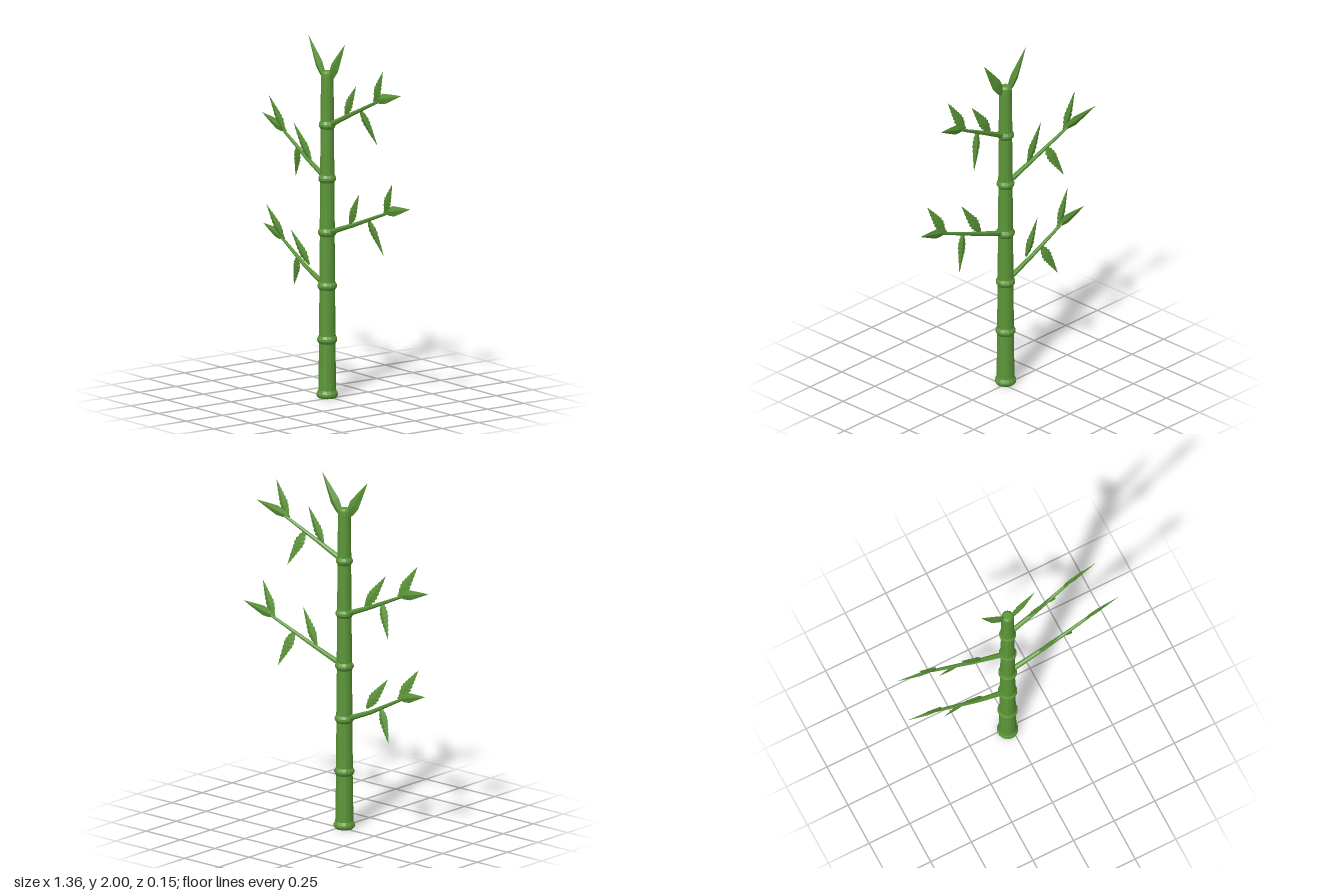
import * as THREE from 'three';

const green = new THREE.MeshStandardMaterial({ color: 0x5c9638, flatShading: true });
const V = (a) => new THREE.Vector3(...a);
const CX = -0.024, CZ = 0.012; // stalk axis

function addMesh(parent, geometry, name) {
  const mesh = new THREE.Mesh(geometry, green);
  mesh.name = name;
  parent.add(mesh);
  return mesh;
}

// Tapered stalk with a bevelled ring at every node
function stalkGeometry() {
  const pts = [[0, 0], [0.05, 0], [0.059, 0.012], [0.059, 0.024], [0.05, 0.042]];
  for (let i = 1; i <= 5; i++) {
    const y = 0.025 + i * 0.3, r = 0.05 - i * 0.0022;
    pts.push([r - 0.002, y - 0.022], [r + 0.008, y - 0.006], [r + 0.008, y + 0.006], [r - 0.001, y + 0.022]);
  }
  pts.push([0.035, 1.79], [0.033, 1.815], [0.022, 1.826], [0, 1.826]);
  return new THREE.LatheGeometry(pts.map(([r, y]) => new THREE.Vector2(r, y)), 14);
}

// Tapered twig between two points
function twig(parent, from, to, r0, r1, name) {
  const dir = to.clone().sub(from);
  const mesh = addMesh(parent, new THREE.CylinderGeometry(r1, r0, dir.length(), 7), name);
  mesh.position.copy(from).addScaledVector(dir, 0.5);
  mesh.quaternion.setFromUnitVectors(new THREE.Vector3(0, 1, 0), dir.normalize());
}

// Spindle leaf with diamond cross-sections; toothed leaves get a saw-tooth edge
function leafGeometry(base, tip, halfWidth, thickness, toothed) {
  const dir = tip.clone().sub(base), unit = dir.clone().normalize();
  const side = new THREE.Vector3().crossVectors(unit, new THREE.Vector3(0, 0, 1)).normalize();
  const normal = new THREE.Vector3().crossVectors(unit, side);
  const width = (t) => (t < 0.38 ? 0.2 + 0.8 * Math.sin((t / 0.38) * Math.PI / 2) : Math.pow((1 - t) / 0.62, 0.9));
  const rings = [];
  if (toothed) {
    const teeth = 9;
    for (let i = 0; i < teeth; i++) {
      rings.push([i / teeth, width(i / teeth) * 0.86]);
      rings.push([(i + 0.75) / teeth, width((i + 0.75) / teeth) * 1.08]);
    }
  } else {
    for (const t of [0, 0.2, 0.38, 0.7]) rings.push([t, width(t)]);
  }
  rings.push([1, 0.01]);
  const pos = [], index = [];
  rings.forEach(([t, w], i) => {
    for (let j = 0; j < 4; j++) {
      const a = (j * Math.PI) / 2;
      const p = base.clone().addScaledVector(dir, t)
        .addScaledVector(side, Math.cos(a) * w * halfWidth)
        .addScaledVector(normal, Math.sin(a) * width(t) * thickness);
      pos.push(p.x, p.y, p.z);
      if (i === 0) continue;
      const k = (j + 1) % 4, lo = (i - 1) * 4, hi = i * 4;
      index.push(lo + j, lo + k, hi + k, lo + j, hi + k, hi + j);
    }
  });
  index.push(0, 2, 1, 0, 3, 2);
  const geo = new THREE.BufferGeometry();
  geo.setAttribute('position', new THREE.Float32BufferAttribute(pos, 3));
  geo.setIndex(index);
  const flat = geo.toNonIndexed();
  flat.computeVertexNormals();
  return flat;
}

// Each branch: root, bend, end, then leaves as [base, tip]
const branches = [
  {
    path: [[-0.04, 0.625, 0.012], [-0.22, 0.7, 0.01], [-0.46, 0.825, 0.0]],
    leaves: {
      endLeaf: [[-0.42, 0.82, 0.003], [-0.627, 0.87, -0.007]], upperLeaf: [[-0.43, 0.82, 0.003], [-0.54, 0.995, 0.037]],
      innerLeaf: [[-0.185, 0.715, 0.012], [-0.31, 0.895, 0.045]], lowerLeaf: [[-0.295, 0.745, 0.005], [-0.387, 0.56, -0.035]],
    },
  },
  {
    path: [[-0.01, 0.925, 0.012], [0.2, 1.0, 0.007], [0.49, 1.115, -0.008]],
    leaves: {
      endLeaf: [[0.46, 1.115, -0.008], [0.68, 1.167, -0.02]], upperLeaf: [[0.472, 1.115, -0.005], [0.58, 1.295, 0.025]],
      innerLeaf: [[0.175, 1.0, 0.01], [0.297, 1.193, 0.037]], lowerLeaf: [[0.325, 1.06, 0], [0.405, 0.857, -0.05]],
    },
  },
  {
    path: [[-0.04, 1.225, 0.01], [-0.22, 1.3, -0.002], [-0.47, 1.415, -0.025]],
    leaves: {
      endLeaf: [[-0.44, 1.415, -0.022], [-0.68, 1.475, -0.04]], upperLeaf: [[-0.45, 1.41, -0.022], [-0.562, 1.597, 0.003]],
      innerLeaf: [[-0.185, 1.295, 0], [-0.315, 1.49, 0.022]], lowerLeaf: [[-0.315, 1.355, -0.01], [-0.407, 1.164, -0.062]],
    },
  },
  {
    path: [[-0.01, 1.525, 0.01], [0.16, 1.61, -0.008], [0.37, 1.715, -0.035]],
    leaves: {
      endLeaf: [[0.335, 1.715, -0.032], [0.555, 1.775, -0.055]], upperLeaf: [[0.345, 1.71, -0.032], [0.452, 1.9, -0.008]],
      innerLeaf: [[0.115, 1.6, -0.004], [0.24, 1.785, 0.015]], lowerLeaf: [[0.23, 1.655, -0.018], [0.315, 1.455, -0.074]],
    },
  },
];

export function createModel() {
  const model = new THREE.Group();
  model.name = 'bambooPlant';

  addMesh(model, stalkGeometry(), 'stalk').position.set(CX, 0, CZ);

  // Branches with their four leaves
  branches.forEach(({ path, leaves }, i) => {
    const branch = new THREE.Group();
    branch.name = `branch${i + 1}`;
    const [root, bend, end] = path.map(V);
    twig(branch, root, bend, 0.016, 0.012, 'lowerTwig');
    twig(branch, bend, end, 0.012, 0.008, 'upperTwig');
    for (const [name, [base, tip]] of Object.entries(leaves)) {
      const toothed = name !== 'endLeaf';
      addMesh(branch, leafGeometry(V(base), V(tip), toothed ? 0.032 : 0.029, 0.009, toothed), name);
    }
    model.add(branch);
  });

  // Pair of plain leaves sprouting from the top
  for (const s of [-1, 1]) {
    const base = V([CX + s * 0.012, 1.765, CZ]), tip = V([CX + s * 0.165, 2, CZ + 0.004]);
    addMesh(model, leafGeometry(base, tip, 0.034, 0.016, false), s < 0 ? 'rightTopLeaf' : 'leftTopLeaf');
  }
  return model;
}
